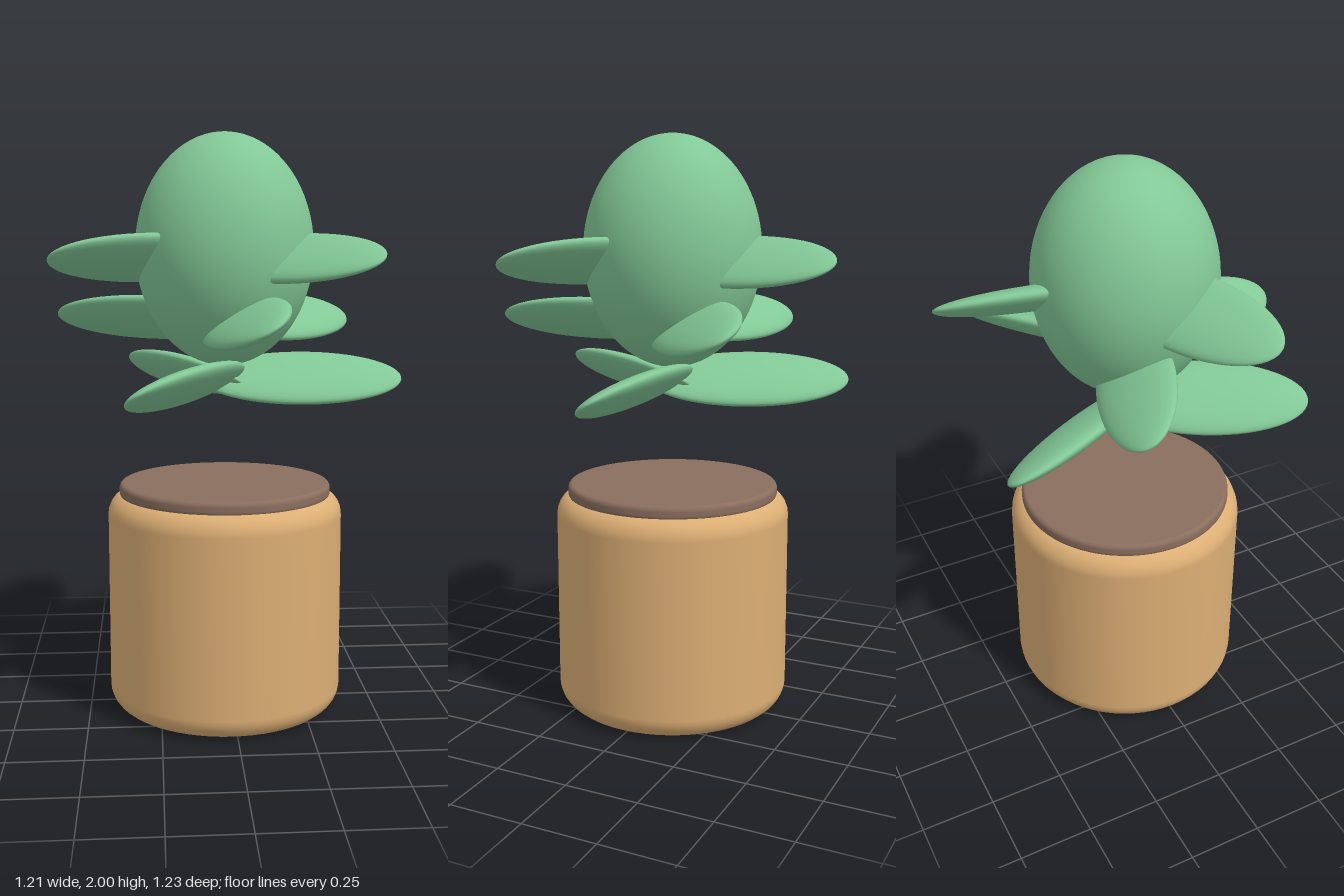
import * as THREE from 'three';

export function createModel() {
  const model = new THREE.Group();
  model.name = 'pottedSucculent';

  const mat = (name, color) => {
    const m = new THREE.MeshStandardMaterial({ color });
    m.name = name;
    return m;
  };
  const leafGreen = mat('leafGreen', 0x82c896);
  const clay = mat('clay', 0xdcae74);
  const soilBrown = mat('soilBrown', 0x8a6e5e);

  const plant = new THREE.Group();
  plant.name = 'plant';
  plant.position.x = -0.02;
  model.add(plant);

  const add = (name, geometry, material, parent = plant) => {
    const mesh = new THREE.Mesh(geometry, material);
    mesh.name = name;
    parent.add(mesh);
    return mesh;
  };

  // Turned solid with rounded bottom and top edges
  const roundedDisc = (r, y0, y1, bevelR, bevelY, segments = 64) => {
    const pts = [new THREE.Vector2(0, y0)];
    const steps = 6;
    for (let i = 0; i <= steps; i++) {
      const a = (i / steps) * Math.PI / 2;
      pts.push(new THREE.Vector2(r - bevelR + bevelR * Math.sin(a), y0 + bevelY - bevelY * Math.cos(a)));
    }
    for (let i = 0; i <= steps; i++) {
      const a = (i / steps) * Math.PI / 2;
      pts.push(new THREE.Vector2(r - bevelR + bevelR * Math.cos(a), y1 - bevelY + bevelY * Math.sin(a)));
    }
    pts.push(new THREE.Vector2(0, y1));
    return new THREE.LatheGeometry(pts, segments);
  };

  // Pot and soil
  add('pot', roundedDisc(0.41, 0, 0.765, 0.07, 0.075), clay);
  add('soil', roundedDisc(0.37, 0.75, 0.8, 0.015, 0.018), soilBrown);

  // Egg-shaped body
  const body = add('body', new THREE.SphereGeometry(1, 64, 40), leafGreen);
  body.scale.set(0.306, 0.395, 0.306);
  body.position.y = 1.605;

  // Nine leaves in three tiers, each rolled about its own length
  const leafGeometry = new THREE.SphereGeometry(1, 40, 28);
  leafGeometry.rotateZ(-Math.PI / 2);
  leafGeometry.scale(0.353, 0.04, 0.14);
  leafGeometry.rotateX(0.567);
  leafGeometry.translate(0.27, 0, 0);
  const tiers = [
    { y: 1.163, start: 0 },
    { y: 1.37, start: 80 },
    { y: 1.578, start: 40 },
  ];
  tiers.forEach(({ y, start }, t) => {
    for (let i = 0; i < 3; i++) {
      const leaf = add(`leafTier${t + 1}_${i + 1}`, leafGeometry, leafGreen);
      leaf.position.y = y;
      leaf.rotation.y = -THREE.MathUtils.degToRad(start + i * 120);
    }
  });

  return model;
}
